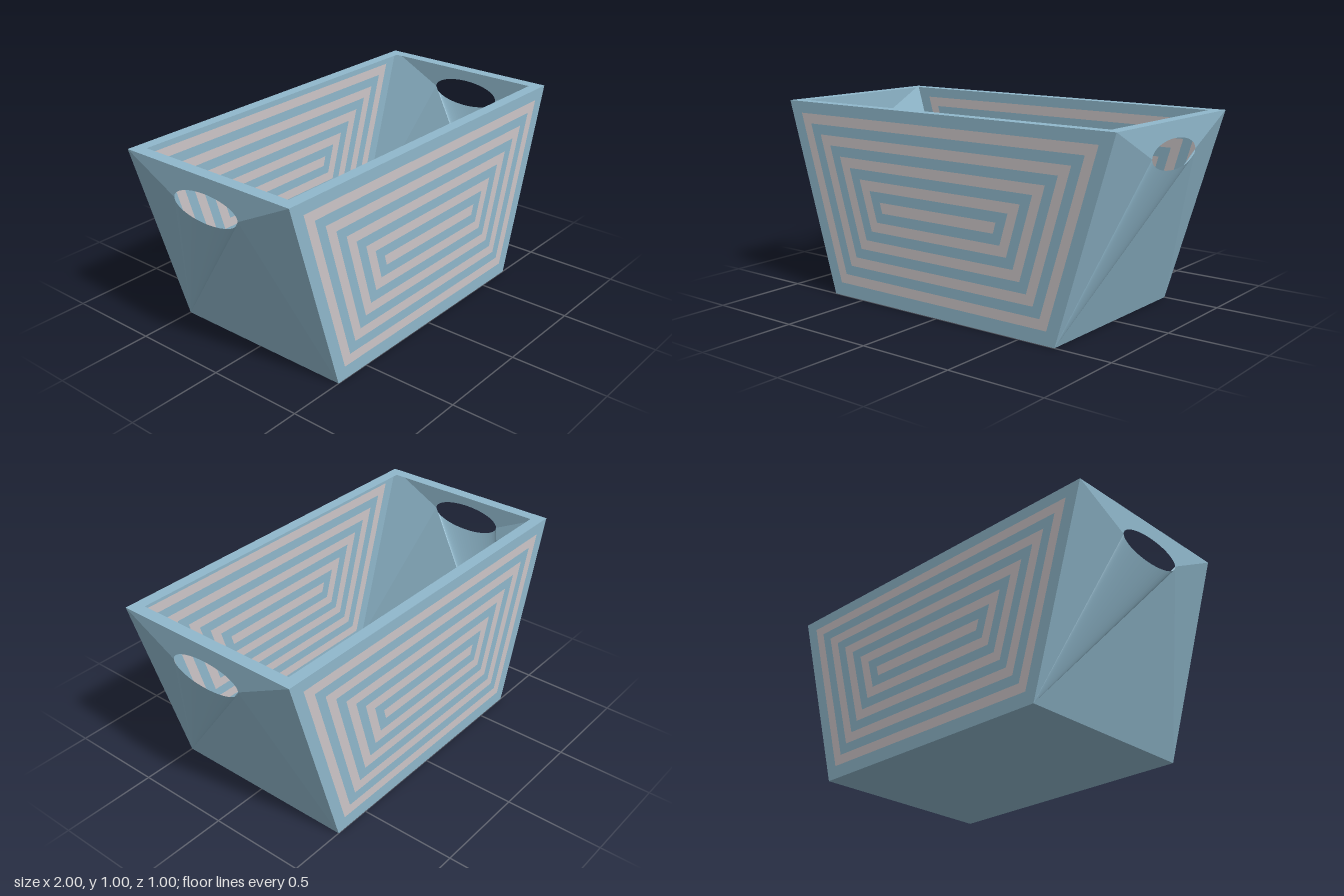
import * as THREE from 'three';
import { mergeGeometries } from 'three/addons/utils/BufferGeometryUtils.js';

const blue = new THREE.MeshStandardMaterial({ color: 0x90b8cc, side: THREE.DoubleSide });
const pink = new THREE.MeshStandardMaterial({ color: 0xcdc6c8, side: THREE.DoubleSide });

function mesh(name, geometry, material) {
  const m = new THREE.Mesh(geometry, material);
  m.name = name;
  return m;
}

// Corners of the k-th nested trapezoid; 0 is the panel outline
function trapezoid(k) {
  const t = k - 1;
  const [xt, yt, xb, yb] = k === 0
    ? [1, 1, 0.7, 0]
    : [0.914 - 0.0685 * t, 0.94 - 0.0512 * t, 0.654 - 0.038 * t, 0.069 + 0.0509 * t];
  return [[-xb, yb], [xb, yb], [xt, yt], [-xt, yt]].map(([x, y]) => new THREE.Vector2(x, y));
}

// Long panel: alternating blue and pink trapezoid bands in one plane
function stripedPanel(name) {
  const bands = [[], []];
  for (let k = 0; k <= 9; k++) {
    const shape = new THREE.Shape(trapezoid(k));
    if (k < 9) shape.holes.push(new THREE.Path(trapezoid(k + 1)));
    bands[k % 2].push(new THREE.ShapeGeometry(shape));
  }
  const g = new THREE.Group();
  g.name = name;
  g.add(mesh('panelBands', mergeGeometries(bands[0]), blue));
  g.add(mesh('panelStripes', mergeGeometries(bands[1]), pink));
  return g;
}

// End panel: slanted sheet folded up to an upright oval handle hole
function endPanelGeometry() {
  const N = 64;
  const topFront = [1, 1, 0.5], topBack = [1, 1, -0.5];
  const lowFront = [0.7, 0, 0.5], lowBack = [0.7, 0, -0.5];
  const rim = (i) => {
    const a = (i / N) * Math.PI * 2;
    return [1, 0.847 + 0.072 * Math.sin(a), 0.2 * Math.cos(a)];
  };
  const pos = [];
  const tri = (...corners) => corners.forEach((c) => pos.push(...c));
  // Fans from the corners to the hole edge
  for (let i = 0; i < N; i++) {
    const corner = i < N / 4 ? topFront : i < N / 2 ? topBack : lowFront;
    tri(corner, rim(i), rim(i + 1));
  }
  // Triangles between the fans
  tri(topFront, lowFront, rim(0));
  tri(lowFront, lowBack, rim(N / 2));
  tri(lowBack, topBack, rim(N / 2));
  tri(topBack, topFront, rim(N / 4));
  const g = new THREE.BufferGeometry();
  g.setAttribute('position', new THREE.Float32BufferAttribute(pos, 3));
  g.computeVertexNormals();
  return g;
}

// Flat rectangular rim around the opening
function rimGeometry() {
  const rect = (x, z) => [[-x, -z], [x, -z], [x, z], [-x, z]].map(([a, b]) => new THREE.Vector2(a, b));
  const shape = new THREE.Shape(rect(1, 0.5));
  shape.holes.push(new THREE.Path(rect(0.938, 0.441)));
  return new THREE.ShapeGeometry(shape).rotateX(-Math.PI / 2).translate(0, 1, 0);
}

export function createModel() {
  const basket = new THREE.Group();
  basket.name = 'storageBasket';

  const front = stripedPanel('frontPanel');
  front.position.z = 0.5;
  const back = stripedPanel('backPanel');
  back.position.z = -0.5;
  back.rotation.y = Math.PI;

  const left = mesh('leftHandlePanel', endPanelGeometry(), blue);
  const right = mesh('rightHandlePanel', endPanelGeometry(), blue);
  right.rotation.y = Math.PI;

  const floor = mesh('floor', new THREE.PlaneGeometry(1.4, 1).rotateX(Math.PI / 2), blue);
  basket.add(front, back, left, right, floor, mesh('topRim', rimGeometry(), blue));
  return basket;
}
